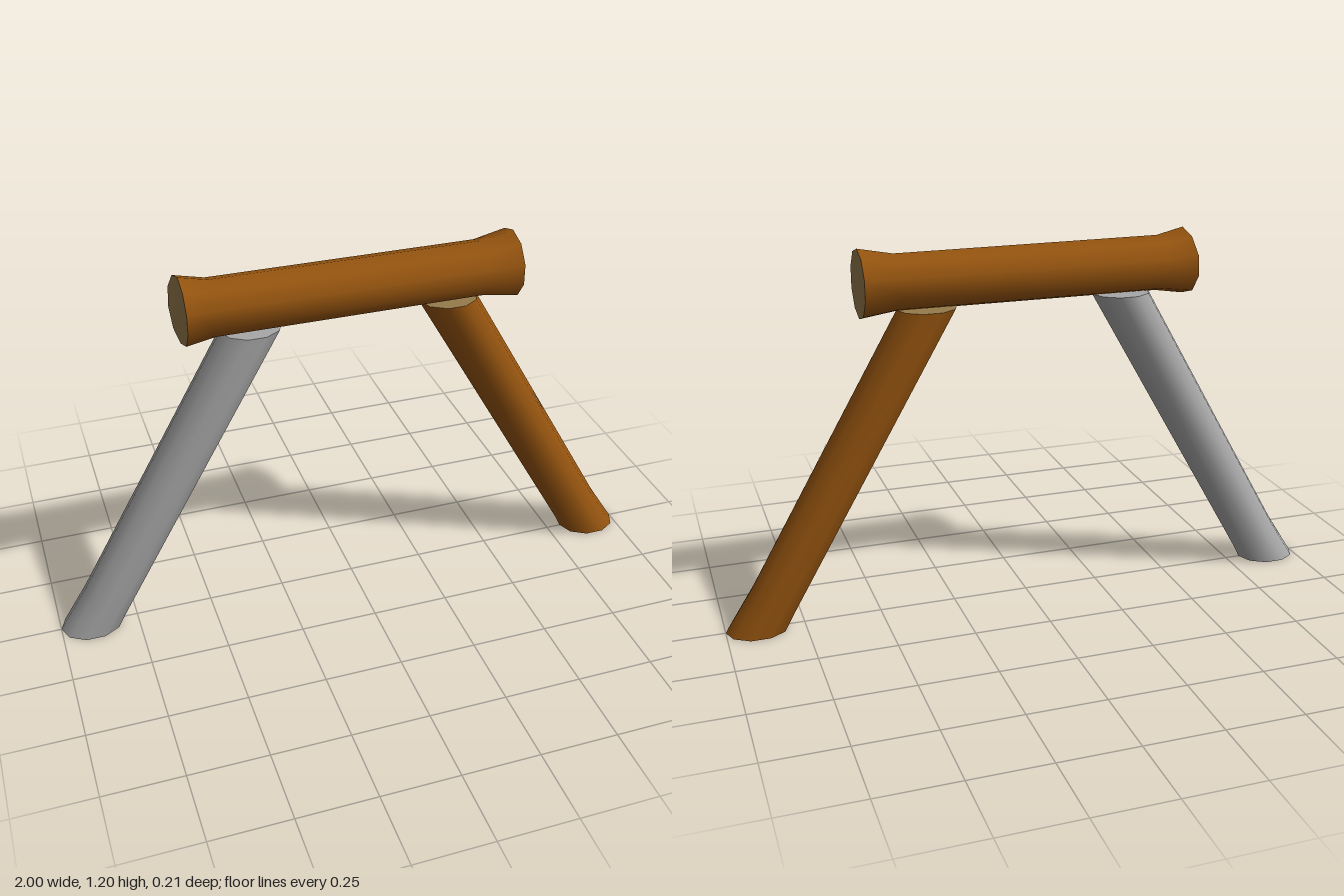
import * as THREE from 'three';

const SIDES = 10;
const bark = new THREE.MeshStandardMaterial({ color: 0x95540f });
bark.name = 'bark brown';
const cutWood = new THREE.MeshStandardMaterial({ color: 0x967a4c });
cutWood.name = 'cut wood tan';
const grey = new THREE.MeshStandardMaterial({ color: 0xa8a8a8 });
grey.name = 'plain grey';

// A log lofted through rings (functions of angle): smooth bark, flat cut ends
function log(name, rings, sideMaterial, endMaterial) {
  const group = new THREE.Group();
  group.name = name;
  const loops = rings.map((ring) =>
    Array.from({ length: SIDES }, (_, i) => ring((i / SIDES) * Math.PI * 2)));

  const index = [];
  for (let r = 0; r < loops.length - 1; r++) {
    for (let i = 0; i < SIDES; i++) {
      const j = (i + 1) % SIDES;
      const a = r * SIDES + i, b = r * SIDES + j;
      index.push(a, a + SIDES, b, b, a + SIDES, b + SIDES);
    }
  }
  addMesh(group, name + 'Side', loops.flat(2), index, sideMaterial);

  [loops[0], loops[loops.length - 1]].forEach((loop, end) => {
    const fan = [];
    for (let i = 1; i < SIDES - 1; i++) fan.push(0, ...(end ? [i + 1, i] : [i, i + 1]));
    addMesh(group, name + (end ? 'EndCut' : 'StartCut'), loop.flat(), fan, endMaterial);
  });
  return group;
}

function addMesh(group, name, positions, index, material) {
  const geometry = new THREE.BufferGeometry();
  geometry.setAttribute('position', new THREE.Float32BufferAttribute(positions, 3));
  geometry.setIndex(index);
  geometry.computeVertexNormals();
  const mesh = new THREE.Mesh(geometry, material);
  mesh.name = name;
  group.add(mesh);
}

// Leaning leg: level foot, tilted ring just above it, level top
function leg(name, side, sideMaterial, endMaterial) {
  const ring = (cx, cy, rx, tilt) => (t) => [
    side * cx + rx * Math.cos(t),
    cy + side * tilt * Math.cos(t),
    0.083 * Math.sin(t),
  ];
  return log(name, [
    ring(0.9, 0, 0.1, 0),
    ring(0.845, 0.09, 0.065, 0.05),
    ring(0.319, 1.004, 0.096, 0),
  ], sideMaterial, endMaterial);
}

export function createModel() {
  const model = new THREE.Group();
  model.name = 'logTrestle';

  // Crossbeam with flared ends, the right one cut slightly askew
  const beamRing = (x, cy, radius, skew = 0) => (t) => [
    x - skew * Math.max(0, Math.cos(t - Math.PI * 0.6)),
    cy + radius * Math.cos(t),
    -radius * Math.sin(t),
  ];
  model.add(log('crossbeam', [
    beamRing(-0.53, 1.093, 0.108, 0.015),
    beamRing(-0.44, 1.09, 0.09),
    beamRing(0.42, 1.09, 0.089),
    beamRing(0.53, 1.093, 0.108),
  ], bark, cutWood));

  // Legs
  model.add(leg('leftLeg', 1, bark, cutWood));
  model.add(leg('rightLeg', -1, grey, grey));

  // Small bare patch lying on the outer face of the left leg
  const onLeg = ([y, z]) => [0.913 - 0.5756 * (y - 0.14) - 0.367 * z, y, z];
  const outline = [[0.54, 0.024], [0.54, 0.034], [0.575, 0.04], [0.608, 0.039],
    [0.608, 0.021], [0.575, 0.018]];
  const fan = [];
  for (let i = 1; i < outline.length - 1; i++) fan.push(0, i + 1, i);
  addMesh(model, 'barePatch', outline.flatMap(onLeg), fan, cutWood);

  return model;
}
